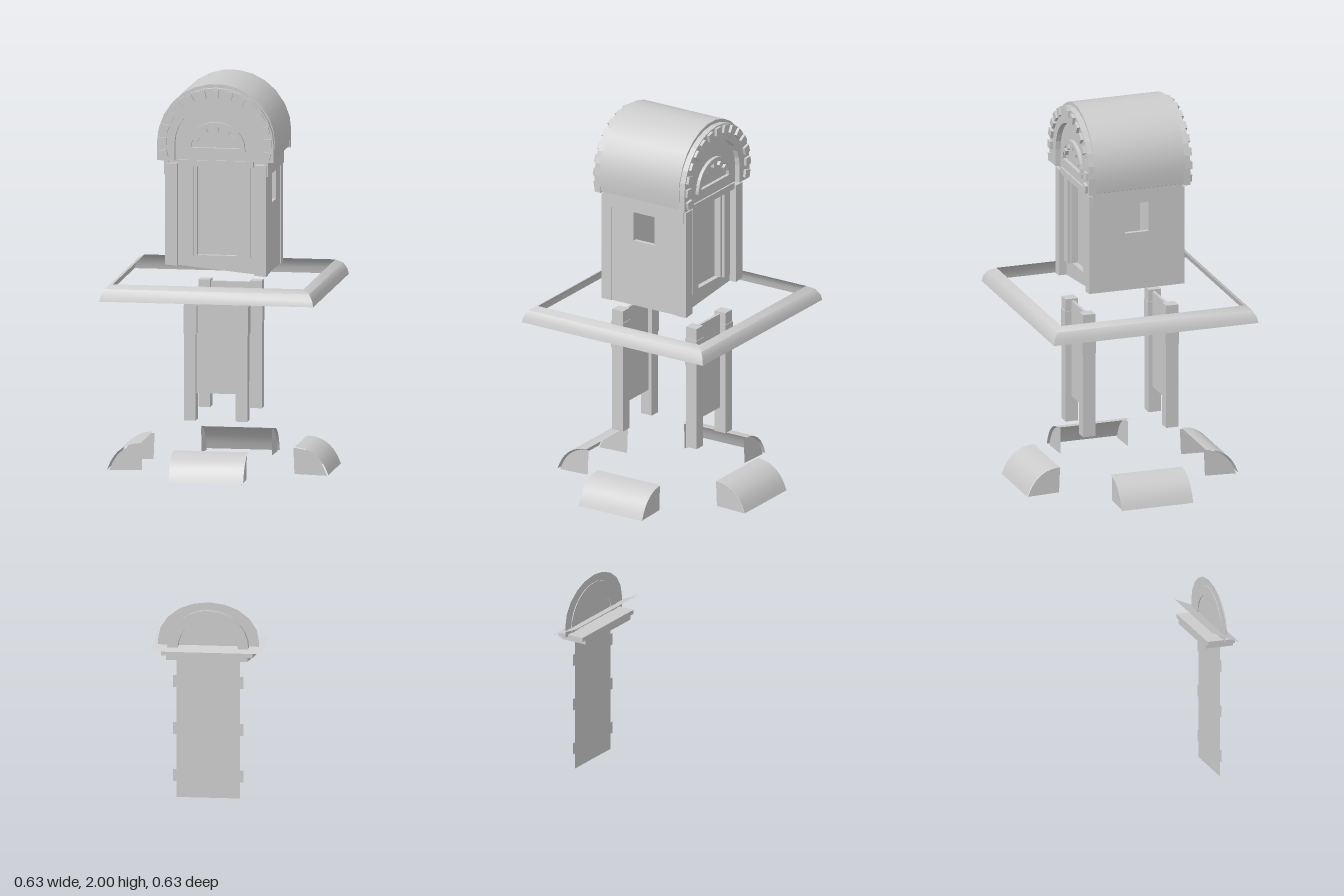
import * as THREE from 'three';
import { toCreasedNormals } from 'three/addons/utils/BufferGeometryUtils.js';

const mat = new THREE.MeshStandardMaterial({ color: 0xcccccc, side: THREE.DoubleSide });

function add(parent, name, geo, x = 0, y = 0, z = 0) {
  const m = new THREE.Mesh(geo, mat);
  m.name = name;
  m.position.set(x, y, z);
  parent.add(m);
  return m;
}

const poly = pts => new THREE.Shape(pts.map(p => new THREE.Vector2(p[0], p[1])));
const rectPath = (x0, y0, x1, y1) => poly([[x0, y0], [x1, y0], [x1, y1], [x0, y1]]);
const extrude = (shape, depth) => new THREE.ExtrudeGeometry(shape, { depth, bevelEnabled: false });

// Points of an upper half ellipse, from right to left
function arc(rx, ry, cy, n = 14) {
  const pts = [];
  for (let i = 0; i <= n; i++) {
    const a = Math.PI * i / n;
    pts.push([rx * Math.cos(a), cy + ry * Math.sin(a)]);
  }
  return pts;
}

// Arched band between two half ellipses
const archBand = (rx, ry, ix, iy, cy, foot = cy) => poly([
  [rx, foot], ...arc(rx, ry, cy), [-rx, foot], [-ix, foot], ...arc(ix, iy, cy).reverse(), [ix, foot]]);

// The lower edge of the house runs at a slant
const low = x => 1.47 - 0.1 * x;
const slantPanel = (x0, x1, top) => poly([[x0, low(x0)], [x1, low(x1)], [x1, top], [x0, top]]);

// One gable face, built facing +z
function houseFace() {
  const g = new THREE.Group();
  const wall = slantPanel(-0.14, 0.14, 1.79);
  wall.holes.push(rectPath(-0.065, 1.51, 0.065, 1.765));
  add(g, 'frontWall', extrude(wall, 0.015), 0, 0, 0.105);
  add(g, 'door', new THREE.BoxGeometry(0.13, 0.255, 0.01), 0, 1.6375, 0.1);
  for (const s of [-1, 1]) {
    const a = s * 0.143, b = s * 0.11;
    add(g, 'cornerPilaster', extrude(slantPanel(Math.min(a, b), Math.max(a, b), 1.77), 0.033), 0, 0, 0.108);
    add(g, 'doorJamb', new THREE.BoxGeometry(0.03, 0.26, 0.014), s * 0.08, 1.637, 0.125);
    add(g, 'doorMoulding', new THREE.BoxGeometry(0.008, 0.255, 0.025), s * 0.06, 1.637, 0.112);
  }
  add(g, 'lintel', new THREE.BoxGeometry(0.21, 0.018, 0.03), 0, 1.772, 0.125);
  // Arch with a row of small blocks
  add(g, 'tympanum', extrude(poly([[0.15, 1.78], ...arc(0.15, 0.15, 1.83), [-0.15, 1.78]]), 0.01), 0, 0, 0.125);
  add(g, 'archBand', extrude(archBand(0.165, 0.157, 0.115, 0.108, 1.83, 1.78), 0.02), 0, 0, 0.13);
  for (let i = 0; i < 15; i++) {
    const a = -0.22 + (Math.PI + 0.44) * i / 14;
    const b = add(g, 'archBlock', new THREE.BoxGeometry(0.022, 0.022, 0.012),
      0.149 * Math.cos(a), 1.83 + 0.142 * Math.sin(a), 0.152);
    b.rotation.z = a;
  }
  // Lunette with a scalloped rim
  add(g, 'lunette', extrude(archBand(0.083, 0.075, 0.07, 0.062, 1.815), 0.012), 0, 0, 0.133);
  for (let i = 1; i < 6; i++) {
    const a = Math.PI * i / 6;
    const b = add(g, 'lunetteBlock', new THREE.BoxGeometry(0.016, 0.016, 0.012),
      0.064 * Math.cos(a), 1.815 + 0.056 * Math.sin(a), 0.139);
    b.rotation.z = a;
  }
  add(g, 'lunetteSill', new THREE.BoxGeometry(0.17, 0.01, 0.012), 0, 1.812, 0.139);
  return g;
}

// Two posts with a thin panel between, facing +z
function postPair() {
  const g = new THREE.Group();
  for (const s of [-1, 1]) {
    add(g, 'post', new THREE.BoxGeometry(0.033, 0.36, 0.036), s * 0.073, 1.225, 0.123);
    add(g, 'postBand', new THREE.BoxGeometry(0.037, 0.08, 0.04), s * 0.073, 1.33, 0.123);
  }
  add(g, 'postPanel', new THREE.BoxGeometry(0.116, 0.28, 0.008), 0, 1.26, 0.12);
  return g;
}

// Curved hood open at the back and below, facing +z
function hood() {
  const g = new THREE.Group();
  const curve = new THREE.SplineCurve([[0.218, 0.972], [0.252, 0.966], [0.282, 0.947], [0.301, 0.922], [0.313, 0.895]]
    .map(p => new THREE.Vector2(...p)));
  const pts = curve.getPoints(10);
  const shell = new THREE.PlaneGeometry(1, 1, 1, 10);
  const p = shell.attributes.position;
  for (let i = 0; i < p.count; i++) {
    const q = pts[Math.floor(i / 2)];
    p.setXYZ(i, i % 2 ? 0.106 : -0.106, q.y, q.x);
  }
  shell.computeVertexNormals();
  add(g, 'hoodShell', shell);
  const end = new THREE.ShapeGeometry(poly([...pts.map(q => [q.x - 0.005, q.y - 0.003]), [0.216, 0.895]]));
  for (const s of [-1, 1]) add(g, 'hoodEnd', end, s * 0.1).rotation.y = -Math.PI / 2;
  return g;
}

// Detached doorway plate with its shelf and arch
function doorway() {
  const g = new THREE.Group();
  const right = [[0.09, 0]];
  for (const y of [0.045, 0.177, 0.31]) {
    right.push([0.09, y], [0.1, y], [0.1, y + 0.034], [0.09, y + 0.034]);
  }
  right.push([0.09, 0.4]);
  const left = right.map(([x, y]) => [-x, y]).reverse();
  add(g, 'doorPlate', new THREE.ShapeGeometry(poly([...right, ...left])), 0, 0, 0.265);
  add(g, 'shelfBase', new THREE.BoxGeometry(0.23, 0.012, 0.08), 0, 0.397, 0.254);
  add(g, 'shelfMoulding', new THREE.BoxGeometry(0.26, 0.012, 0.08), 0, 0.409, 0.254);
  const shelf = add(g, 'slopedShelf', new THREE.PlaneGeometry(0.315, 0.087), 0, 0.432, 0.257);
  shelf.rotation.x = -Math.PI / 2 + Math.atan2(0.035, 0.08);
  add(g, 'archPlate', new THREE.ShapeGeometry(poly([[0.143, 0.41], ...arc(0.143, 0.107, 0.445, 10), [-0.143, 0.41]])), 0, 0, 0.262);
  add(g, 'archMoulding', extrude(archBand(0.115, 0.105, 0.085, 0.077, 0.425, 0.405), 0.016), 0, 0, 0.26);
  return g;
}

export function createModel() {
  const model = new THREE.Group();
  const house = new THREE.Group();
  house.name = 'house';
  model.add(house);

  // Barrel roof
  const outline = poly([[0.15, 1.78], [0.163, 1.785], ...arc(0.167, 0.167, 1.83, 13), [-0.163, 1.785], [-0.15, 1.78]]);
  add(house, 'barrelRoof', toCreasedNormals(extrude(outline, 0.266), 0.5), 0, 0, -0.133);

  // Side walls with a small window
  for (const s of [-1, 1]) {
    const b = low(s * 0.135);
    const wall = rectPath(-0.115, b, 0.115, 1.79);
    wall.holes.push(rectPath(-0.035, 1.65, 0.035, 1.737));
    const w = add(house, 'sideWall', extrude(wall, 0.012), s * 0.135 - 0.006);
    w.rotation.y = Math.PI / 2;
    add(house, 'eave', new THREE.BoxGeometry(0.012, 0.045, 0.266), s * 0.141, 1.76, 0);
  }

  // Faces and posts at front and back; the back keeps the same slant
  for (const s of [1, -1]) {
    const face = houseFace();
    face.name = s > 0 ? 'frontFace' : 'backFace';
    face.scale.z = s;
    const posts = postPair();
    posts.name = s > 0 ? 'frontPosts' : 'backPosts';
    posts.scale.z = s;
    house.add(face);
    model.add(posts);
  }

  // Square cornice ring, open inside
  const profile = [[0.303, 1.4], [0.299, 1.417], [0.289, 1.434], [0.27, 1.445]]
    .map(([r, y]) => new THREE.Vector2(r * Math.SQRT2, y));
  add(model, 'corniceRing', toCreasedNormals(new THREE.LatheGeometry(profile, 4, Math.PI / 4), 0.9));

  // Four hoods around the axis
  for (let i = 0; i < 4; i++) {
    const h = hood();
    h.name = 'hood';
    h.rotation.y = i * Math.PI / 2;
    model.add(h);
  }

  const d = doorway();
  d.name = 'doorway';
  model.add(d);
  return model;
}
